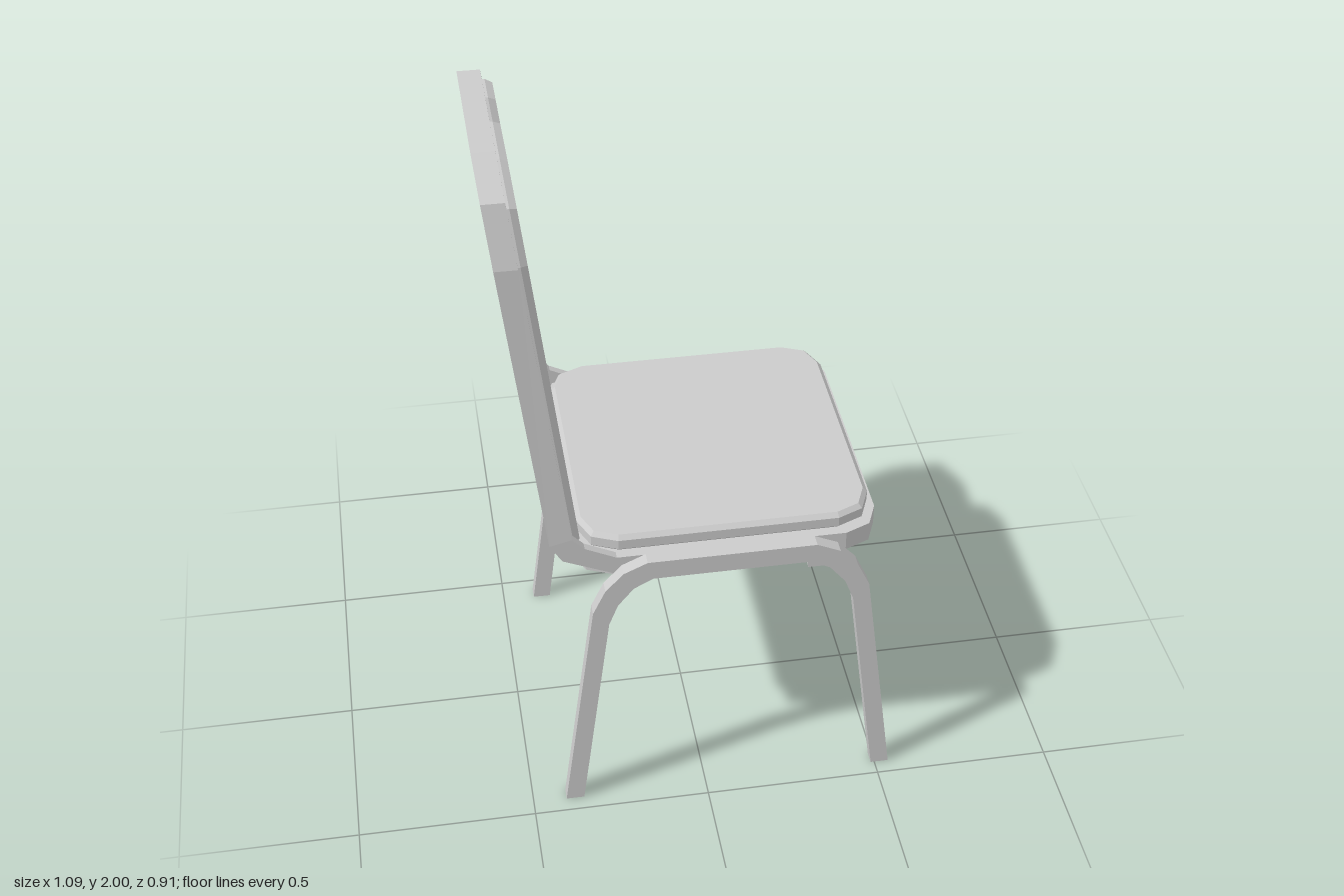
import * as THREE from 'three';

const CENTRE = 0.0675; // middle of the seat and leg arches along x
const LEAN = -0.116; // how far the back leans per unit of height

function createMaterial() {
  return new THREE.MeshStandardMaterial({ color: 0xcccccc, flatShading: true });
}

function addMesh(group, name, geometry, material) {
  const mesh = new THREE.Mesh(geometry, material);
  mesh.name = name;
  group.add(mesh);
  return mesh;
}

// Closed shape from one half outline, mirrored across the vertical axis
function mirroredShape(half) {
  const other = half.map(([x, y]) => [-x, y]).reverse();
  return new THREE.Shape([...half, ...other].map(([x, y]) => new THREE.Vector2(x, y)));
}

// Square slab with clipped corners, lying flat at height y
function seatSlab(h, y, height, bevel) {
  const half = [[h - 0.1, -h], [h - 0.03, -h + 0.03], [h, -h + 0.1],
    [h, h - 0.1], [h - 0.03, h - 0.03], [h - 0.1, h]];
  const geometry = new THREE.ExtrudeGeometry(mirroredShape(half), {
    depth: height - 2 * bevel, bevelEnabled: bevel > 0,
    bevelSize: bevel, bevelThickness: bevel, bevelOffset: -bevel, bevelSegments: 1,
  });
  geometry.translate(0, 0, bevel);
  geometry.rotateX(-Math.PI / 2);
  geometry.translate(CENTRE, y, 0);
  return geometry;
}

// Flat-bar arch forming the front and back leg of one side
function legArch(z) {
  const half = [
    [0.422, 0], [0.337, 0.655], [0.312, 0.72], [0.268, 0.775], [0.215, 0.803],
  ].reverse().concat([
    [0.473, 0], [0.38, 0.70], [0.345, 0.775], [0.295, 0.83], [0.23, 0.86],
  ]);
  const geometry = new THREE.ExtrudeGeometry(mirroredShape(half), { depth: 0.037, bevelEnabled: false });
  geometry.translate(CENTRE, 0, z - 0.0185);
  return geometry;
}

// Bar swept from under the seat, up one side, over the top and down again
function backFrame() {
  // Rear edge x, y; front edge x, y; outer z; inner z; drop of the inner face
  const half = [
    [-0.16, 0.802, -0.16, 0.858, 0.42, 0.397, 0],
    [-0.25, 0.805, -0.24, 0.858, 0.42, 0.397, 0],
    [-0.385, 0.865, -0.325, 0.90, 0.42, 0.397, 0],
    [-0.418, 0.92, -0.358, 0.935, 0.42, 0.397, 0],
  ];
  for (const [y, outer, inner, drop] of [
    [1.77, 0.385, 0.36, 0.01], [1.93, 0.335, 0.315, 0.03], [2, 0.21, 0.205, 0.025],
  ]) {
    const x = -0.42 + LEAN * (y - 0.92);
    half.push([x, y, x + 0.06, y, outer, inner, drop]);
  }
  const mirrored = half.map(([a, b, c, d, o, i, e]) => [a, b, c, d, -o, -i, e]).reverse();
  const stations = [...half, ...mirrored];

  const positions = [];
  const index = [];
  stations.forEach(([bx, by, fx, fy, outer, inner, drop], i) => {
    const shift = -LEAN * drop;
    positions.push(bx, by, outer, fx, fy, outer,
      fx + shift, fy - drop, inner, bx + shift, by - drop, inner);
    if (i === stations.length - 1) return;
    for (let k = 0; k < 4; k++) {
      const a = i * 4 + k;
      const b = i * 4 + (k + 1) % 4;
      index.push(a, b, b + 4, a, b + 4, a + 4);
    }
  });
  const e = (stations.length - 1) * 4;
  index.push(0, 2, 1, 0, 3, 2, e, e + 1, e + 2, e, e + 2, e + 3);

  const geometry = new THREE.BufferGeometry();
  geometry.setAttribute('position', new THREE.Float32BufferAttribute(positions, 3));
  geometry.setIndex(index);
  const flat = geometry.toNonIndexed();
  flat.computeVertexNormals();
  return flat;
}

// Padded panel inside the frame, with a hand-grip notch at the top
function backPanel() {
  const half = [[0.397, 0.9], [0.36, 1.76], [0.315, 1.90], [0.205, 1.975],
    [0.105, 1.975], [0.07, 1.925]];
  const geometry = new THREE.ExtrudeGeometry(mirroredShape(half), {
    depth: 0.037, bevelSize: 0.01, bevelThickness: 0.018, bevelOffset: -0.01, bevelSegments: 1,
  });
  geometry.rotateY(Math.PI / 2);
  // Lean the panel to follow the frame
  const p = geometry.attributes.position;
  for (let i = 0; i < p.count; i++) {
    p.setX(i, p.getX(i) - 0.39 + LEAN * (p.getY(i) - 0.92));
  }
  geometry.computeVertexNormals();
  return geometry;
}

export function createModel() {
  const model = new THREE.Group();
  model.name = 'chair';
  const material = createMaterial();

  // Seat
  addMesh(model, 'seatBase', seatSlab(0.418, 0.80, 0.058, 0), material);
  addMesh(model, 'seatCushion', seatSlab(0.40, 0.858, 0.052, 0.012), material);

  // Legs, one arch on each side
  for (const side of [1, -1]) {
    addMesh(model, side > 0 ? 'leftLegArch' : 'rightLegArch', legArch(side * 0.4385), material);
  }

  // Backrest
  addMesh(model, 'backFrame', backFrame(), material);
  addMesh(model, 'backPanel', backPanel(), material);

  return model;
}
